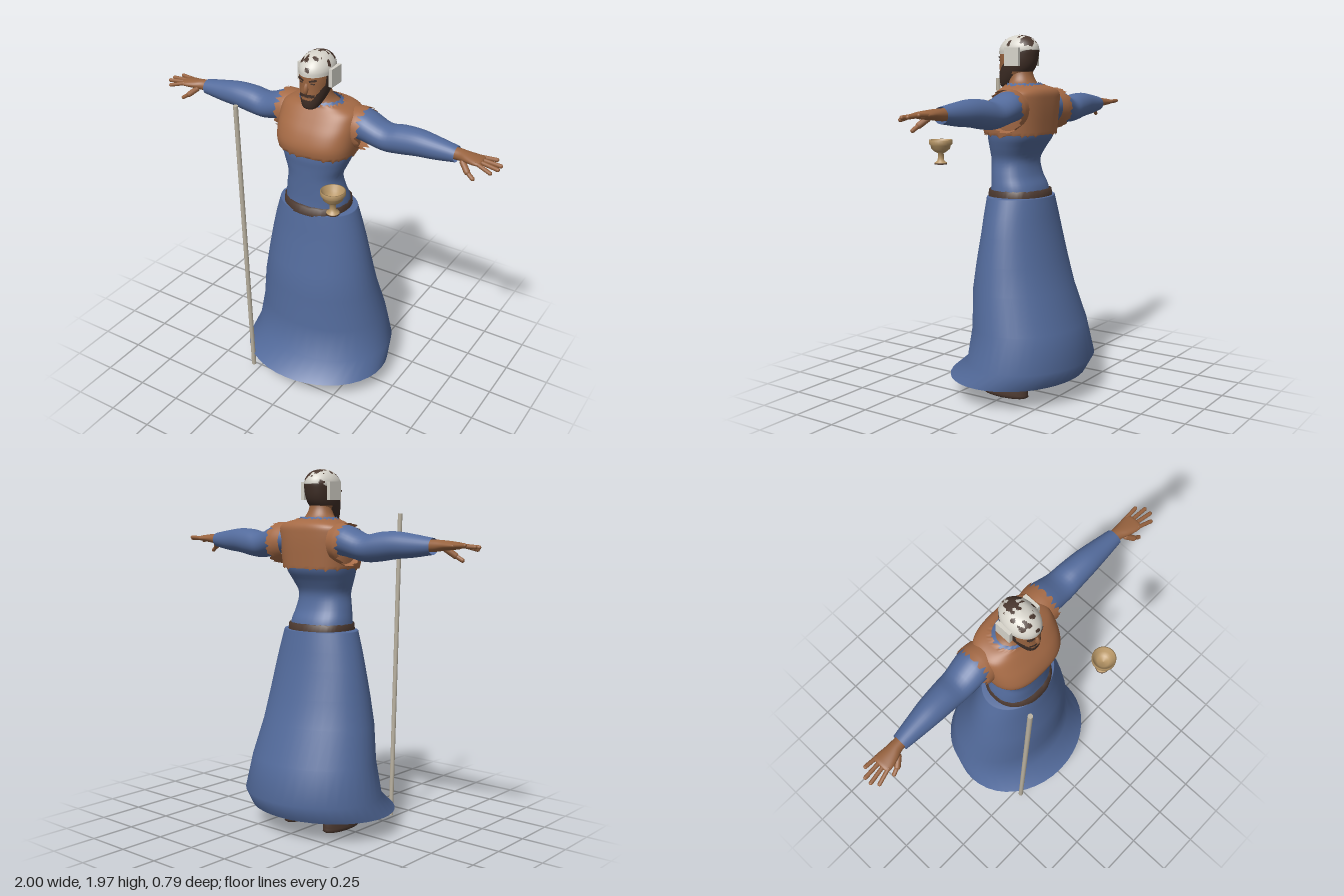
import * as THREE from 'three';

const mat = (name, color, side = THREE.FrontSide) => {
  const m = new THREE.MeshStandardMaterial({ color, side });
  m.name = name;
  return m;
};

// Loft of rings [y, halfWidth, zFront, zBack, centreX], listed bottom to top.
// sub: smoothed steps per span, p: squareness, move(point, row, col, lastRow): edge raggedness,
// pick(x, y, z): material index of a triangle.
function loft(rings, { n = 32, sub = 4, p = 2, move, pick } = {}) {
  const curve = (f) => new THREE.CatmullRomCurve3(rings.map(f), false, 'catmullrom', 0.5);
  const a = curve((r) => new THREE.Vector3(r[1], r[0], r[2]));
  const b = curve((r) => new THREE.Vector3(r[4] || 0, r[0], r[3]));
  const rows = (rings.length - 1) * sub, pos = [], parts = [[], []];
  const sq = (v) => Math.sign(v) * Math.abs(v) ** (2 / p);
  for (let i = 0; i <= rows; i++) {
    const A = a.getPoint(i / rows), B = b.getPoint(i / rows);
    for (let j = 0; j < n; j++) {
      const t = (j / n) * Math.PI * 2;
      const v = new THREE.Vector3(B.x + A.x * sq(Math.cos(t)), A.y,
        (A.z + B.z) / 2 + ((A.z - B.z) / 2) * sq(Math.sin(t)));
      if (move) move(v, i, j, rows);
      pos.push(v.x, v.y, v.z);
    }
  }
  const add = (...tri) => {
    const c = [0, 1, 2].map((k) => tri.reduce((s, q) => s + pos[q * 3 + k], 0) / 3);
    parts[pick ? pick(...c) : 0].push(...tri);
  };
  for (let i = 0; i < rows; i++) for (let j = 0; j < n; j++) {
    const q = i * n + j, r = i * n + ((j + 1) % n);
    add(q, q + n, r);
    add(r, q + n, r + n);
  }
  const g = new THREE.BufferGeometry();
  g.setAttribute('position', new THREE.Float32BufferAttribute(pos, 3));
  g.setIndex([...parts[0], ...parts[1]]);
  if (pick) {
    g.addGroup(0, parts[0].length, 0);
    g.addGroup(parts[0].length, parts[1].length, 1);
  }
  g.computeVertexNormals();
  return g;
}

// Loft running along +x; rings are [x, halfHeight, zFront, zBack, centreY]
const loftX = (rings, opt) =>
  loft(rings.map(([x, h, f, b, y]) => [x, h, f, b, -y]), opt).rotateZ(-Math.PI / 2);

export function createModel() {
  const model = new THREE.Group();
  const blue = mat('blueCloth', 0x536b9c, THREE.DoubleSide);
  const leather = mat('vestLeather', 0xa56a45, THREE.DoubleSide);
  const skin = mat('skin', 0x98633f);
  const brown = mat('darkBrown', 0x4b382f);
  const hair = mat('hair', 0x3f2e26);
  const white = mat('capWhite', 0xd6d3ca);
  const wood = mat('paleWood', 0xb9b1a0);
  const brass = mat('gobletTan', 0xb99868, THREE.DoubleSide);
  const stocking = mat('stockingTan', 0x8f7a58);

  const put = (name, geo, material, parent = model, at = [0, 0, 0]) => {
    const m = new THREE.Mesh(geo, material);
    m.name = name;
    m.position.set(...at);
    parent.add(m);
    return m;
  };
  const capsule = (name, a, b, r, material, parent) => {
    const A = new THREE.Vector3(...a), B = new THREE.Vector3(...b), d = B.clone().sub(A);
    const m = put(name, new THREE.CapsuleGeometry(r, d.length(), 4, 10), material, parent);
    m.position.copy(A).add(B).multiplyScalar(0.5);
    m.quaternion.setFromUnitVectors(new THREE.Vector3(0, 1, 0), d.normalize());
  };
  const jag = (j) => Math.abs(Math.sin(j * 1.7 + Math.sin(j * 0.6)));

  // Robe: flared skirt with a kicked-out front hem, shirt and belt
  put('skirt', loft([[0.115, 0.43, 0.375, -0.34], [0.21, 0.412, 0.26, -0.395], [0.4, 0.375, 0.23, -0.35],
    [0.6, 0.338, 0.235, -0.275], [0.75, 0.31, 0.215, -0.235], [0.9, 0.28, 0.19, -0.2], [1.0, 0.255, 0.18, -0.182],
    [1.1, 0.225, 0.17, -0.165], [1.105, 0.222, 0.168, -0.163], [1.107, 0.16, 0.13, -0.11]], { sub: 1, n: 40 }), blue);
  put('shirt', loft([[1.1, 0.18, 0.15, -0.14], [1.16, 0.175, 0.147, -0.125], [1.22, 0.163, 0.148, -0.095],
    [1.3, 0.15, 0.152, -0.082], [1.37, 0.175, 0.157, -0.115], [1.44, 0.198, 0.162, -0.157], [1.55, 0.205, 0.14, -0.155],
    [1.64, 0.19, 0.08, -0.15], [1.685, 0.13, 0.055, -0.12]], { p: 2.3 }), blue);
  put('belt', loft([[1.09, 0.18, 0.165, -0.15], [1.095, 0.187, 0.171, -0.157], [1.135, 0.184, 0.165, -0.15],
    [1.14, 0.172, 0.14, -0.12]], { sub: 1, n: 48, p: 2.2, move: (v, i, j) => { if (i === 2) v.y += 0.008 * jag(j); } }), brown);

  // Ragged leather vest
  put('vest', loft([[1.425, 0.208, 0.168, -0.163], [1.49, 0.218, 0.178, -0.167], [1.56, 0.222, 0.155, -0.171],
    [1.62, 0.222, 0.118, -0.172], [1.66, 0.212, 0.09, -0.169], [1.685, 0.17, 0.072, -0.15], [1.7, 0.115, 0.068, -0.11]], {
    n: 64, p: 2.6, move: (v, i, j, last) => {
      if (i === 0) v.y += 0.028 * jag(j);
      if (i === last) v.y += 0.012 * jag(j) - 0.006;
    } }), leather);

  // Neck and shoulders under the collar
  put('neck', loft([[1.64, 0.15, 0.07, -0.13], [1.69, 0.118, 0.064, -0.1], [1.72, 0.08, 0.062, -0.078],
    [1.76, 0.063, 0.06, -0.062], [1.81, 0.06, 0.06, -0.06]]), skin);
  put('collarTrim', loft([[1.683, 0.14, 0.074, -0.125], [1.698, 0.126, 0.072, -0.115], [1.706, 0.106, 0.062, -0.097]],
    { sub: 2, n: 48, move: (v, i, j, last) => { if (i === last) v.y += 0.008 * jag(j); } }), blue);

  // Head: bearded face in front, hair at the back and sides
  const isHair = (x, y, z) => {
    const ax = Math.abs(x);
    const back = z < 0 && y > 1.775, sideburn = ax > 0.066 && z < 0.06 && y > 1.775;
    const beard = z > 0.015 && y < 1.742 + Math.max(0, ax - 0.03) * 1.6;
    const moustache = z > 0.1 && ax < 0.04 && y > 1.757 && y < 1.775;
    return back || sideburn || beard || moustache ? 1 : 0;
  };
  const head = new THREE.Group();
  head.name = 'head';
  model.add(head);
  put('face', loft([[1.684, 0.002, 0.1, 0.09], [1.692, 0.036, 0.122, 0.05], [1.72, 0.054, 0.13, 0], [1.76, 0.069, 0.129, -0.05],
    [1.8, 0.078, 0.126, -0.08], [1.85, 0.083, 0.125, -0.094], [1.9, 0.08, 0.118, -0.096], [1.94, 0.055, 0.075, -0.06],
    [1.955, 0.002, 0.015, 0.01]], { n: 64, sub: 6, p: 2.15, pick: isHair }), [skin, hair], head);
  const nose = put('nose', new THREE.SphereGeometry(1, 12, 10), skin, head, [0, 1.803, 0.124]);
  nose.scale.set(0.013, 0.032, 0.018);
  nose.rotation.x = -0.25;
  for (const s of [-1, 1]) {
    const brow = put('eyebrow', new THREE.BoxGeometry(0.038, 0.009, 0.008), hair, head, [s * 0.034, 1.847, 0.117]);
    brow.rotation.set(0, s * 0.35, s * 0.2);
    const eye = put('eye', new THREE.BoxGeometry(0.022, 0.007, 0.006), brown, head, [s * 0.033, 1.831, 0.117]);
    eye.rotation.y = s * 0.35;
    put('earFlap', new THREE.BoxGeometry(0.02, 0.096, 0.09), white, head, [s * 0.092, 1.849, 0]);
  }

  // Close-fitting cap with worn brown patches: [x, y, z, radius]
  const patches = [[0, 1.965, -0.04, 0.042], [0.035, 1.935, -0.07, 0.035], [-0.025, 1.945, 0.085, 0.02], [0.03, 1.95, 0.07, 0.017],
    [-0.055, 1.93, 0.075, 0.017], [-0.05, 1.945, 0.02, 0.014], [-0.06, 1.89, -0.07, 0.018], [0.075, 1.92, 0.03, 0.016],
    [0.01, 1.905, 0.125, 0.012]];
  const worn = (x, y, z) => (patches.some(([a, b, c, r]) =>
    Math.hypot(x - a, y - b, z - c) < r * (1 + 0.3 * Math.sin(x * 170 + y * 90) + 0.25 * Math.sin(z * 210 - x * 60))) ? 1 : 0);
  put('cap', loft([[1.865, 0.086, 0.131, -0.098], [1.89, 0.087, 0.129, -0.1], [1.915, 0.08, 0.117, -0.093],
    [1.94, 0.063, 0.092, -0.072], [1.957, 0.04, 0.058, -0.04], [1.966, 0.001, 0.013, 0.011]],
  { n: 64, sub: 6, pick: worn, move: (v, i) => { if (i < 6) v.y += Math.max(0, -v.z) * 0.18 * (1 - i / 6); } }), [white, brown], head);

  // Arms, hands, legs and shoes, mirrored
  for (const s of [1, -1]) {
    const half = new THREE.Group();
    half.name = s > 0 ? 'leftLimbs' : 'rightLimbs';
    half.scale.x = s;
    model.add(half);
    put('sleeve', loftX([[0.14, 0.07, 0.02, -0.14, 1.59], [0.24, 0.082, 0.03, -0.16, 1.59], [0.36, 0.071, 0.024, -0.148, 1.556],
      [0.45, 0.075, 0.021, -0.138, 1.565], [0.55, 0.069, 0.018, -0.125, 1.575], [0.65, 0.058, 0.01, -0.108, 1.574],
      [0.76, 0.041, 0, -0.088, 1.574]]), blue, half);
    put('shoulderFringe', loftX([[0.17, 0.1, 0.045, -0.16, 1.58], [0.21, 0.108, 0.05, -0.168, 1.575], [0.235, 0.112, 0.05, -0.17, 1.57]],
      { n: 48, sub: 2, move: (v, i, j, last) => { if (i === last) v.y += 0.036 * jag(j) - 0.01; } }), leather, half);
    put('hand', loftX([[0.68, 0.032, -0.012, -0.078, 1.576], [0.77, 0.03, -0.01, -0.076, 1.578], [0.82, 0.025, 0.008, -0.076, 1.58],
      [0.87, 0.02, 0.022, -0.08, 1.58], [0.9, 0.015, 0.018, -0.076, 1.58], [0.908, 0.001, -0.02, -0.03, 1.58]]), skin, half);
    [[0.03, 0.965, 1.562], [0, 0.99, 1.574], [-0.036, 0.99, 1.577], [-0.072, 0.955, 1.585]].forEach(([z, x, y], i) =>
      capsule('finger', [0.885, 1.582, 0.01 - i * 0.026], [x, y, z], 0.0105, skin, half));
    capsule('thumb', [0.81, 1.56, -0.005], [0.845, 1.53, 0.02], 0.016, skin, half);
    capsule('thumbTip', [0.845, 1.53, 0.02], [0.88, 1.507, 0.03], 0.011, skin, half);
    put('leg', new THREE.CylinderGeometry(0.065, 0.038, 0.95, 20), stocking, half, [0.135, 0.56, -0.065]);
    put('shoe', loft([[0, 0, 0.02, 0.01, 0.142], [0.002, 0.055, 0.15, -0.12, 0.142], [0.022, 0.063, 0.164, -0.13, 0.142],
      [0.045, 0.06, 0.15, -0.13, 0.142], [0.065, 0.056, 0.095, -0.128, 0.141], [0.09, 0.052, 0.035, -0.125, 0.138],
      [0.115, 0.049, -0.01, -0.12, 0.136], [0.12, 0.03, -0.03, -0.1, 0.136]], { sub: 2 }), brown, half);
  }

  // Staff, leaning slightly forward
  const staff = put('staff', new THREE.CylinderGeometry(0.013, 0.013, 1.7, 10), wood, model, [-0.276, 0.88, 0.318]);
  staff.rotation.x = 0.032;

  // Goblet with a hollow bowl
  const cup = [[0, 0], [0.033, 0], [0.033, 0.008], [0.02, 0.015], [0.016, 0.03], [0.016, 0.058], [0.035, 0.068], [0.05, 0.082],
    [0.055, 0.1], [0.063, 0.108], [0.063, 0.13], [0.057, 0.13], [0.048, 0.1], [0.03, 0.082], [0, 0.075]];
  put('goblet', new THREE.LatheGeometry(cup.map((c) => new THREE.Vector2(...c)), 28), brass, model, [0.286, 1.28, 0.333]);
  put('gobletFoot', new THREE.CylinderGeometry(0.034, 0.034, 0.006, 28), brown, model, [0.286, 1.281, 0.333]);
  return model;
}
